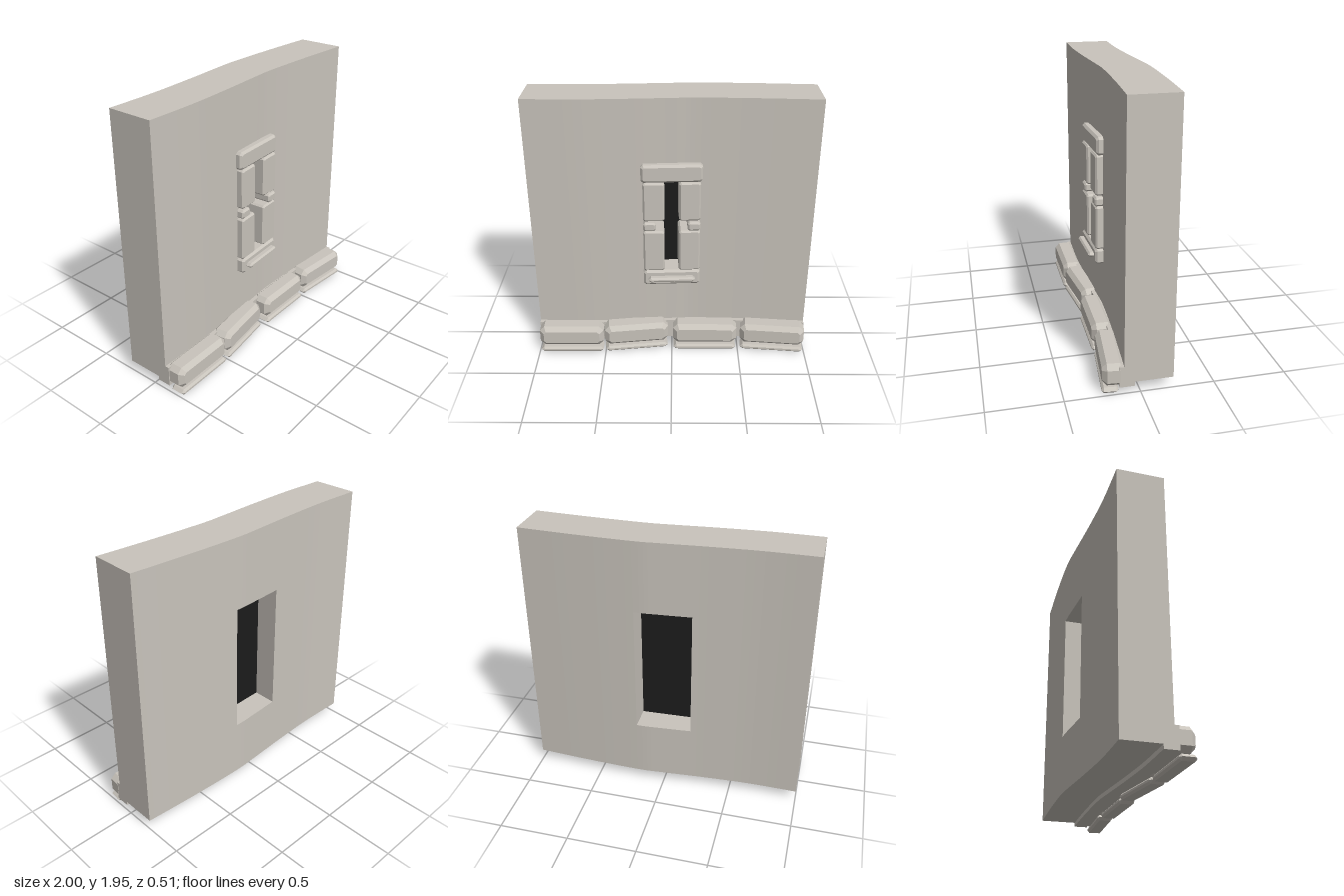
import * as THREE from 'three';

const stoneMat = new THREE.MeshStandardMaterial({ color: 0xc9c4bc });
stoneMat.name = 'pale stone';
const darkMat = new THREE.MeshStandardMaterial({ color: 0x1c1c1c });
darkMat.name = 'dark opening';

// Gently bowed plan line of the wall's back face
const THICK = 0.33;
const plan = new THREE.SplineCurve([
  [-1, -0.22], [-0.65, -0.215], [-0.3, -0.23], [0, -0.25], [0.2, -0.259], [0.6, -0.245], [1, -0.22],
].map(([x, z]) => new THREE.Vector2(x, z))).getPoints(36);

function backZ(x) {
  let i = 1;
  while (i < plan.length - 1 && plan[i].x < x) i++;
  const a = plan[i - 1], b = plan[i];
  return a.y + (b.y - a.y) * (x - a.x) / (b.x - a.x);
}
const frontZ = (x) => backZ(x) + THICK;

// Block that follows the plan line; near and far are offsets from the back face
function curvedBlock(name, x0, x1, y0, y1, near, far) {
  const xs = [x0, ...plan.map((p) => p.x).filter((x) => x > x0 + 0.005 && x < x1 - 0.005), x1];
  const shape = new THREE.Shape([
    ...xs.map((x) => new THREE.Vector2(x, -backZ(x) - far)),
    ...xs.slice().reverse().map((x) => new THREE.Vector2(x, -backZ(x) - near)),
  ]);
  const geo = new THREE.ExtrudeGeometry(shape, { depth: y1 - y0, bevelEnabled: false });
  geo.rotateX(-Math.PI / 2).translate(0, y0, 0);
  const mesh = new THREE.Mesh(geo, stoneMat);
  mesh.name = name;
  return mesh;
}

// Chamfered stone, centred in x and y, with its front face at z = 0
function stone(name, w, h, d, b) {
  const x = w / 2 - b, y = h / 2 - b, c = b * 0.5;
  const shape = new THREE.Shape([
    [-x + c, -y], [x - c, -y], [x, -y + c], [x, y - c],
    [x - c, y], [-x + c, y], [-x, y - c], [-x, -y + c],
  ].map(([px, py]) => new THREE.Vector2(px, py)));
  const geo = new THREE.ExtrudeGeometry(shape, {
    depth: d - 2 * b, bevelEnabled: true, bevelSize: b, bevelThickness: b, bevelSegments: 1,
  });
  geo.translate(0, 0, b - d);
  const mesh = new THREE.Mesh(geo, stoneMat);
  mesh.name = name;
  return mesh;
}

function createWall() {
  const wall = new THREE.Group();
  wall.name = 'wall';
  wall.add(
    curvedBlock('wallBelow', -1, 1, 0.08, 0.5, 0, THICK),
    curvedBlock('wallAbove', -1, 1, 1.44, 1.95, 0, THICK),
    curvedBlock('wallRight', -1, -0.2, 0.5, 1.44, 0, THICK),
    curvedBlock('wallLeft', 0.2, 1, 0.5, 1.44, 0, THICK),
    // narrower front half of the opening
    curvedBlock('slitFloor', -0.2, 0.2, 0.5, 0.64, 0.19, THICK),
    curvedBlock('slitCeiling', -0.2, 0.2, 1.37, 1.44, 0.19, THICK),
    curvedBlock('slitSideRight', -0.2, -0.125, 0.64, 1.37, 0.19, THICK),
    curvedBlock('slitSideLeft', 0.125, 0.2, 0.64, 1.37, 0.19, THICK),
  );
  return wall;
}

function createWindow() {
  const win = new THREE.Group();
  win.name = 'slitWindow';
  const tilt = 0.05;
  const place = (mesh, x, y, z) => {
    mesh.position.set(x, y, z);
    mesh.rotation.y = tilt;
    win.add(mesh);
  };
  place(stone('lintel', 0.43, 0.13, 0.09, 0.016), 0, 1.425, 0.13);
  place(stone('sill', 0.41, 0.12, 0.1, 0.016), 0, 0.602, 0.14);
  place(stone('sillLedge', 0.33, 0.036, 0.07, 0.012), 0, 0.602, 0.18);
  for (const s of [-1, 1]) {
    const z = 0.135 - s * 0.006;
    place(stone('upperJamb', 0.152, 0.295, 0.19, 0.012), s * 0.127, 1.213, z);
    place(stone('lowerJamb', 0.152, 0.325, 0.19, 0.012), s * 0.127, 0.822, z);
    place(stone('middleJamb', 0.09, 0.066, 0.16, 0.012), s * 0.158, 1.02, z + 0.003);
  }
  // dark panel closing the slit
  const panel = new THREE.Mesh(new THREE.BoxGeometry(0.4, 0.94, 0.008), darkMat);
  panel.name = 'darkPanel';
  panel.position.set(0, 0.97, -0.068);
  panel.rotation.y = 0.03;
  win.add(panel);
  return win;
}

function createBase() {
  const base = new THREE.Group();
  base.name = 'baseCourse';
  base.add(curvedBlock('backingStrip', -1, 1, 0.05, 0.2, THICK - 0.07, THICK + 0.03));
  // centre x, front z at the right end and at the left end of each stone
  const stones = [[-0.753, 0.25, 0.247], [-0.262, 0.245, 0.185], [0.248, 0.213, 0.213], [0.752, 0.207, 0.25]];
  for (const [x, za, zb] of stones) {
    const unit = new THREE.Group();
    unit.name = 'baseUnit';
    const block = stone('baseStone', 0.48, 0.162, 0.15, 0.032);
    block.position.y = 0.133;
    const foot = stone('footMoulding', 0.46, 0.042, 0.11, 0.014);
    foot.position.set(0, 0.023, 0.002);
    unit.add(block, foot);
    unit.position.set(x, 0, (za + zb) / 2);
    unit.rotation.y = Math.atan2(za - zb, 0.46);
    base.add(unit);
  }
  return base;
}

export function createModel() {
  const model = new THREE.Group();
  model.name = 'wallSection';
  model.add(createWall(), createWindow(), createBase());
  return model;
}
